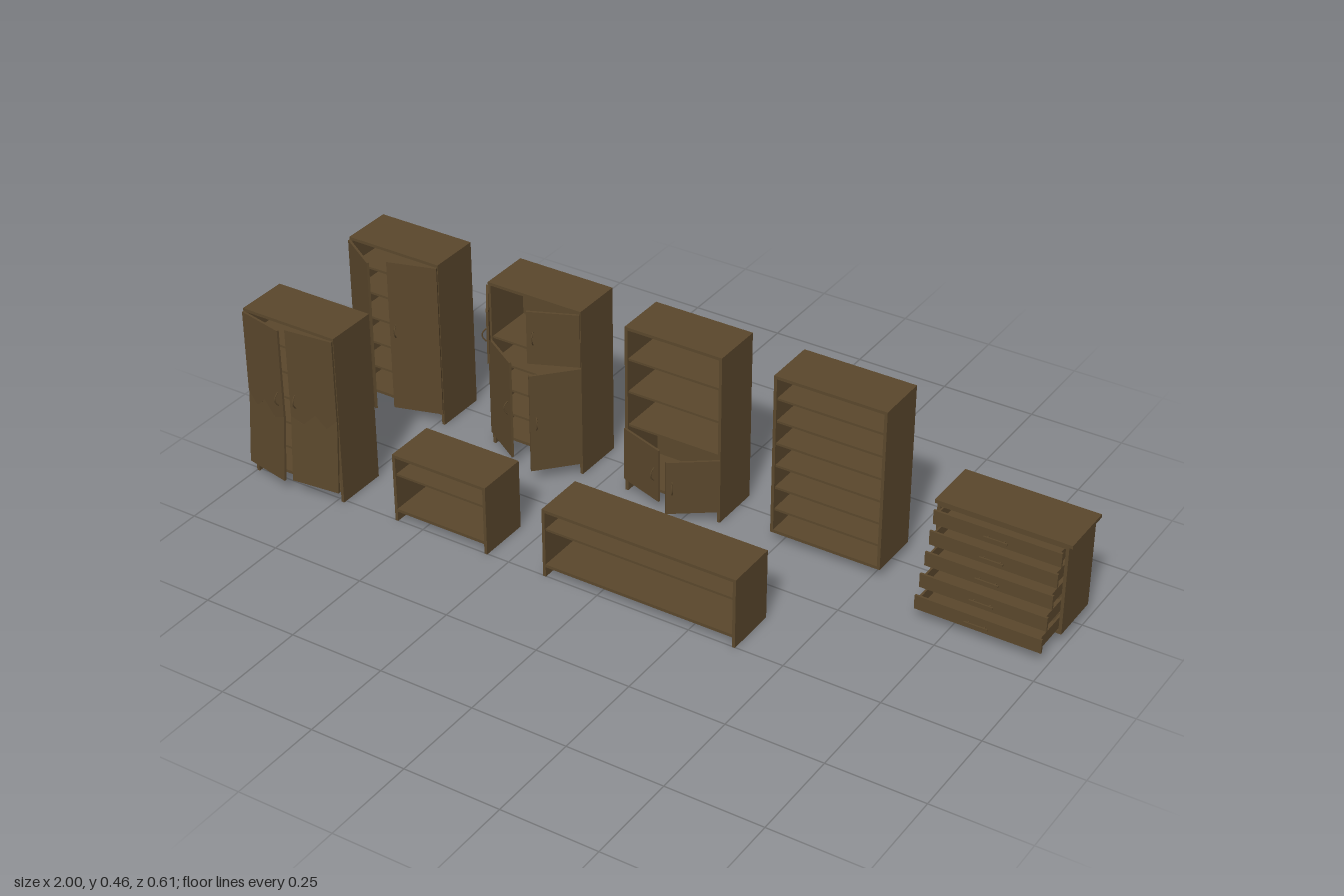
import * as THREE from 'three';

const wood = new THREE.MeshStandardMaterial({ color: 0x5a472c });
wood.name = 'dark wood';
const T = 0.008; // board thickness

function add(parent, name, geometry, x = 0, y = 0, z = 0) {
  const mesh = new THREE.Mesh(geometry, wood);
  mesh.name = name;
  mesh.position.set(x, y, z);
  parent.add(mesh);
  return mesh;
}

// box given by its extents
function board(parent, name, x0, x1, y0, y1, z0, z1) {
  return add(parent, name, new THREE.BoxGeometry(x1 - x0, y1 - y0, z1 - z0),
    (x0 + x1) / 2, (y0 + y1) / 2, (z0 + z1) / 2);
}

// open-fronted carcass: sides, top, bottom, back and shelves
function carcass(name, x0, x1, z0, z1, height, shelves, sideBottom = 0) {
  const g = new THREE.Group();
  g.name = name;
  board(g, 'leftSide', x1 - T, x1, sideBottom, height, z0, z1);
  board(g, 'rightSide', x0, x0 + T, sideBottom, height, z0, z1);
  board(g, 'top', x0 + T, x1 - T, height - T, height, z0, z1);
  board(g, 'bottom', x0 + T, x1 - T, 0.027, 0.027 + T, z0, z1);
  board(g, 'back', x0 + T, x1 - T, 0.027 + T, height - T, z0, z0 + 0.005);
  for (const y of shelves) {
    board(g, 'shelf', x0 + T, x1 - T, y - 0.003, y + 0.003, z0 + 0.005, z1 - 0.004);
  }
  return g;
}

// bow handle, standing upright and bulging towards +z
const bow = new THREE.TubeGeometry(new THREE.QuadraticBezierCurve3(
  new THREE.Vector3(0, -0.018, 0), new THREE.Vector3(0, 0, 0.022), new THREE.Vector3(0, 0.018, 0)), 10, 0.0018, 6);

const DOOR_W = 0.13, DOOR_T = 0.006;

// group at the hinge line; side is -1 for the -x hinge, 1 for the +x hinge
function hinge(parent, x, z, side, degrees) {
  const g = new THREE.Group();
  g.name = side < 0 ? 'rightDoor' : 'leftDoor';
  g.position.set(x, 0, z);
  g.rotation.y = side * THREE.MathUtils.degToRad(degrees);
  parent.add(g);
  return g;
}

function door(parent, x, z, side, degrees, y0, y1, handleY) {
  const g = hinge(parent, x, z, side, degrees);
  const end = -side * DOOR_W;
  board(g, 'doorPanel', Math.min(0, end), Math.max(0, end), y0, y1, 0, DOOR_T);
  add(g, 'handle', bow, end * 0.88, handleY, DOOR_T);
}

// door snapped across the middle, with its lower piece leaning out
function brokenDoor(parent, x, z, side, degrees) {
  const g = hinge(parent, x, z, side, degrees);
  const crack = [[0, 0.235], [0.03, 0.205], [0.06, 0.235], [0.095, 0.2], [DOOR_W, 0.215]];
  const piece = (edgeY, shift) => {
    const pts = [...crack, [DOOR_W, edgeY], [0, edgeY]]
      .map(([px, py]) => new THREE.Vector2(-side * px, py - shift));
    return new THREE.ExtrudeGeometry(new THREE.Shape(pts), { depth: DOOR_T, bevelEnabled: false });
  };
  add(g, 'upperDoorPiece', piece(0.455, 0));
  const lower = add(g, 'lowerDoorPiece', piece(0.036, 0.21), 0, 0.21, 0);
  lower.rotation.x = -0.075;
  add(g, 'handle', bow, -side * DOOR_W * 0.88, 0.26, DOOR_T);
}

// evenly spaced shelf heights for n compartments
const evenly = (n, y0 = 0.03, y1 = 0.46) =>
  Array.from({ length: n - 1 }, (_, i) => y0 + (y1 - y0) * (i + 1) / n);

function dresser() {
  const g = carcass('drawerChest', 0.66, 0.99, -0.297, -0.157, 0.268, [], 0.027);
  board(g, 'worktop', 0.655, 1, 0.268, 0.277, -0.302, -0.153);
  // five drawers, each pulled out less than the one below
  for (let i = 0; i < 5; i++) {
    const y = 0.033 + i * 0.0483, front = [-0.06, -0.08, -0.1, -0.117, -0.131][i];
    const d = new THREE.Group();
    d.name = 'drawer';
    g.add(d);
    const back = front - 0.125, h = 0.037;
    board(d, 'drawerFront', 0.664, 0.986, y, y + h, front - 0.006, front);
    board(d, 'drawerBottom', 0.672, 0.978, y + 0.002, y + 0.006, back, front - 0.006);
    board(d, 'drawerBack', 0.672, 0.978, y + 0.006, y + h - 0.004, back, back + 0.005);
    for (const x of [0.672, 0.973]) {
      board(d, 'drawerSide', x, x + 0.005, y + 0.006, y + h - 0.004, back + 0.005, front - 0.006);
    }
    board(d, 'pullBar', 0.795, 0.855, y + 0.015, y + 0.02, front + 0.006, front + 0.01);
    for (const x of [0.803, 0.844]) {
      board(d, 'pullPost', x, x + 0.003, y + 0.016, y + 0.019, front, front + 0.006);
    }
  }
  return g;
}

export function createModel() {
  const model = new THREE.Group();
  model.name = 'furnitureSet';
  const ZB = -0.296, ZF = -0.157;

  // tall cupboard with two open doors
  const wardrobe = carcass('tallCupboard', -1, -0.73, ZB, ZF, 0.462, evenly(6));
  door(wardrobe, -0.998, ZF, -1, 32, 0.034, 0.455, 0.26);
  door(wardrobe, -0.732, ZF, 1, 17, 0.034, 0.455, 0.26);

  // cupboard with four doors in two tiers
  const fourDoor = carcass('fourDoorCupboard', -0.58, -0.31, ZB, ZF, 0.462, [0.1, 0.17, 0.24, 0.308]);
  door(fourDoor, -0.578, ZF, -1, 55, 0.31, 0.455, 0.382);
  door(fourDoor, -0.312, ZF, 1, 24, 0.31, 0.455, 0.382);
  door(fourDoor, -0.578, ZF, -1, 32, 0.034, 0.306, 0.17);
  door(fourDoor, -0.312, ZF, 1, 48, 0.034, 0.306, 0.17);

  // bookcase with low doors
  const halfOpen = carcass('bookcaseWithDoors', -0.185, 0.085, ZB, ZF, 0.462, [0.187, 0.281, 0.372]);
  door(halfOpen, -0.183, ZF, -1, 18, 0.034, 0.18, 0.107);
  door(halfOpen, 0.083, ZF, 1, 36, 0.034, 0.18, 0.107);

  // open bookcase
  const bookcase = carcass('openBookcase', 0.225, 0.522, ZB, ZF, 0.462, evenly(7), 0.027);

  // cupboard with damaged doors
  const damaged = carcass('damagedCupboard', -1, -0.73, 0.12, 0.259, 0.462, evenly(6));
  brokenDoor(damaged, -0.998, 0.259, -1, 12);
  brokenDoor(damaged, -0.732, 0.259, 1, 6);

  // low shelf units
  const lowShort = carcass('shortLowShelf', -0.58, -0.31, 0.113, 0.252, 0.188, [0.131]);
  const lowLong = carcass('longLowShelf', -0.15, 0.375, 0.113, 0.252, 0.188, [0.131]);

  model.add(wardrobe, fourDoor, halfOpen, bookcase, dresser(), damaged, lowShort, lowLong);
  return model;
}
